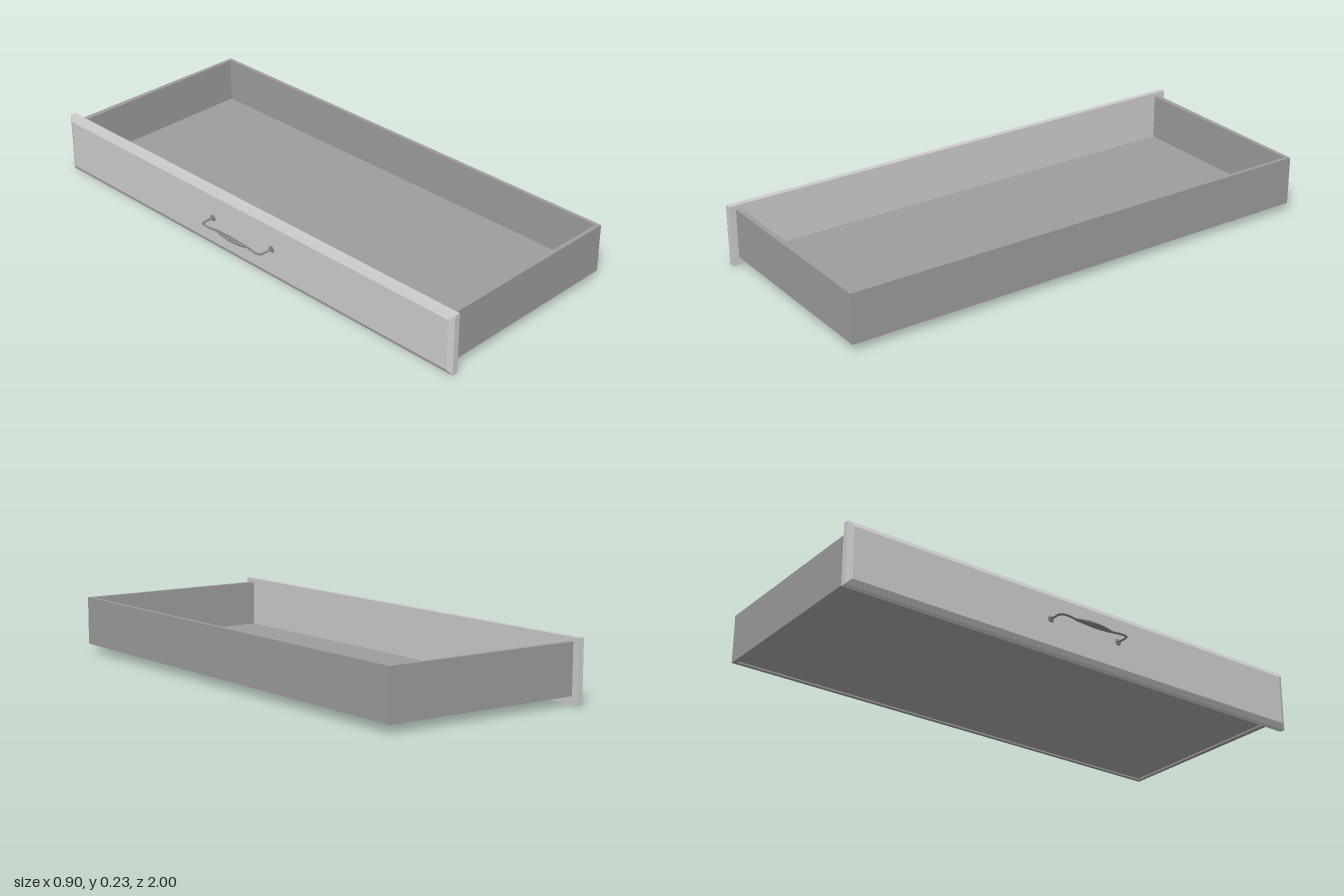
import * as THREE from 'three';

const panelMaterial = new THREE.MeshStandardMaterial({ color: 0xcccccc });
const bodyMaterial = new THREE.MeshStandardMaterial({ color: 0x9c9c9c });
const handleMaterial = new THREE.MeshStandardMaterial({ color: 0x808080 });

function addMesh(parent, name, geometry, material, x = 0, y = 0, z = 0) {
  const mesh = new THREE.Mesh(geometry, material);
  mesh.name = name;
  mesh.position.set(x, y, z);
  parent.add(mesh);
}

// Front panel: box split in depth, with its outer face pulled in to form a chamfer
function chamferedPanel(xOuter, xEdge, xInner, height, length, inset) {
  const geometry = new THREE.BoxGeometry(2, height, length, 2, 1, 1).toNonIndexed();
  const p = geometry.attributes.position;
  for (let i = 0; i < p.count; i++) {
    const side = Math.round(p.getX(i));
    p.setX(i, [xOuter, xEdge, xInner][side + 1]);
    if (side < 0) {
      p.setY(i, p.getY(i) - Math.sign(p.getY(i)) * inset);
      p.setZ(i, p.getZ(i) - Math.sign(p.getZ(i)) * inset);
    }
  }
  geometry.computeVertexNormals();
  return geometry;
}

// Closed outline in plan, extruded upward
function planSlab(points, y0, y1) {
  // shape (x, z) is laid flat, so its second axis is mirrored
  const shape = new THREE.Shape(points.map(([x, z]) => new THREE.Vector2(x, -z)));
  const geometry = new THREE.ExtrudeGeometry(shape, { depth: y1 - y0, bevelEnabled: false });
  geometry.rotateX(-Math.PI / 2);
  geometry.translate(0, y0, 0);
  return geometry;
}

// Bow handle: four-sided bar whose radius swells to a spindle in the middle of the grip
function bowHandle(half) {
  const path = new THREE.CatmullRomCurve3([
    [-0.376, -half], [-0.405, -half], [-0.428, -half + 0.002], [-0.436, -half + 0.014],
    [-0.436, -0.11], [-0.431, -0.085], [-0.435, -0.04], [-0.4355, 0], [-0.435, 0.04],
    [-0.431, 0.085], [-0.436, 0.11], [-0.436, half - 0.014], [-0.428, half - 0.002],
    [-0.405, half], [-0.376, half],
  ].map(([x, z]) => new THREE.Vector3(x, 0, z)));
  const steps = 56, sides = 4;
  const tube = new THREE.TubeGeometry(path, steps, 1, sides);
  const p = tube.attributes.position;
  const v = new THREE.Vector3();
  for (let i = 0; i <= steps; i++) {
    const centre = path.getPointAt(i / steps);
    const swell = Math.abs(centre.z) < 0.085 ? Math.cos(centre.z / 0.085 * Math.PI / 2) : 0;
    const radius = 0.005 + 0.0085 * swell;
    for (let j = 0; j <= sides; j++) {
      const k = i * (sides + 1) + j;
      v.fromBufferAttribute(p, k).sub(centre).multiplyScalar(radius).add(centre);
      p.setXYZ(k, v.x, v.y, v.z);
    }
  }
  const faceted = tube.toNonIndexed();
  faceted.computeVertexNormals();
  return faceted;
}

export function createModel() {
  const drawer = new THREE.Group();
  drawer.name = 'drawer';

  const front = -0.345, back = 0.449;
  const outFront = 0.973, outBack = 0.966, inner = 0.951, innerBack = 0.434;
  const bottom = 0.03, top = 0.219;

  addMesh(drawer, 'frontPanel', chamferedPanel(-0.379, -0.368, front, 0.235, 2, 0.02),
    panelMaterial, 0, 0.1175, 0);

  // Three thin walls, joined into one U-shaped outline closed by the panel
  addMesh(drawer, 'walls', planSlab([
    [front, outFront], [back, outBack], [back, -outBack], [front, -outFront],
    [front, -inner], [innerBack, -inner], [innerBack, inner], [front, inner],
  ], bottom, top), bodyMaterial);

  // Floor, set slightly above the lower rim
  addMesh(drawer, 'floor', new THREE.BoxGeometry(innerBack - front, 0.005, inner * 2),
    bodyMaterial, (front + innerBack) / 2, 0.0385, 0);

  // Handle with a small round plate under each post
  const handle = new THREE.Group();
  handle.name = 'handle';
  handle.position.set(0, 0.123, -0.003);
  const half = 0.155;
  addMesh(handle, 'grip', bowHandle(half), handleMaterial);
  for (const side of [-1, 1]) {
    // narrow end faces away from the panel
    const plate = new THREE.CylinderGeometry(0.009, 0.014, 0.005, 10).rotateZ(Math.PI / 2);
    addMesh(handle, 'handlePlate', plate, handleMaterial, -0.381, 0, side * half);
  }
  drawer.add(handle);

  return drawer;
}
